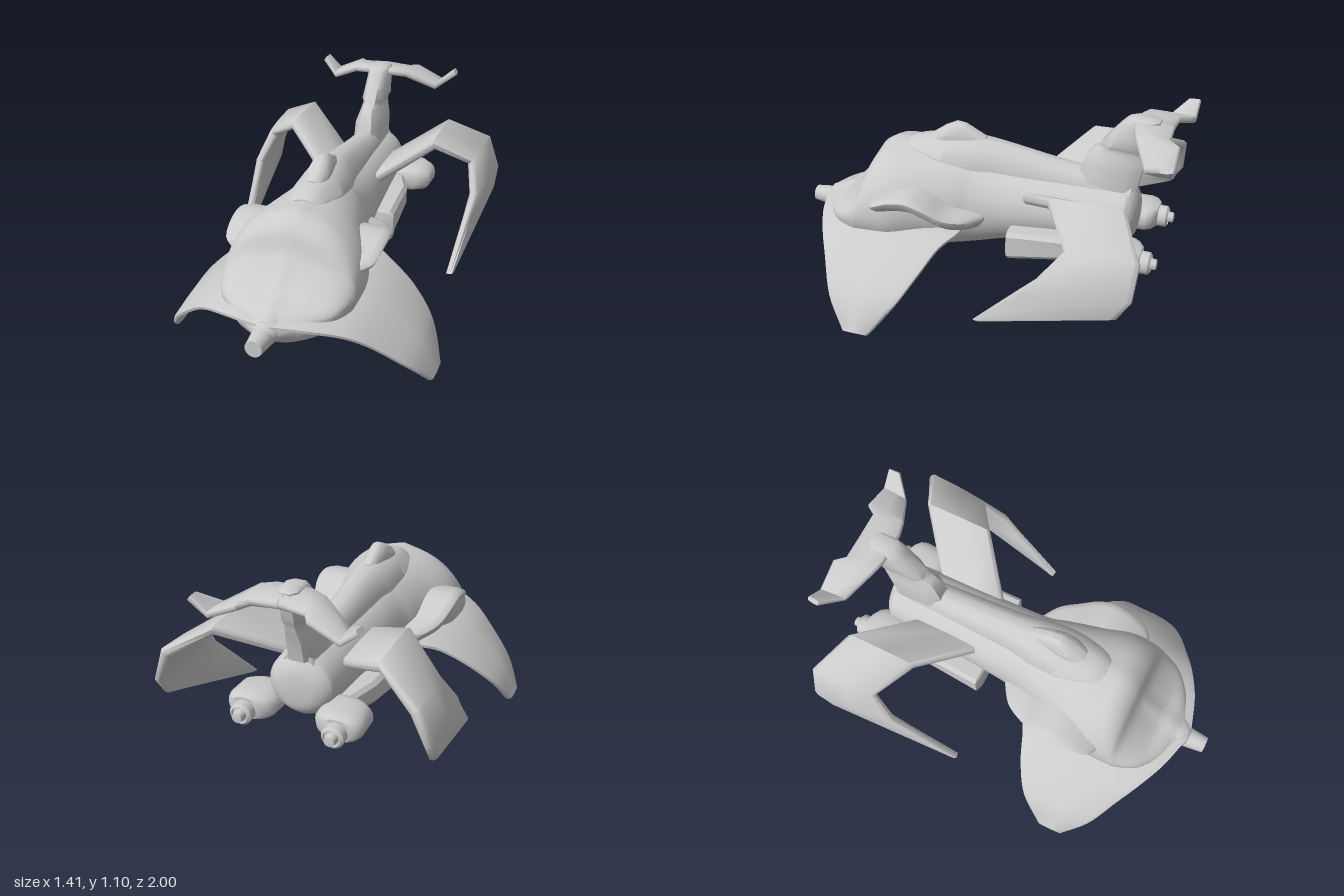
import * as THREE from 'three';
import { toCreasedNormals } from 'three/addons/utils/BufferGeometryUtils.js';

const V = (x, y, z) => new THREE.Vector3(x, y, z);
const grey = new THREE.MeshStandardMaterial({ color: 0xcccccc });
const thin = new THREE.MeshStandardMaterial({ color: 0xcccccc, side: THREE.DoubleSide });

// Joins equal-sized rings of points into a capped solid whose faces point outwards
function loft(rings, crease = 0.6) {
  const n = rings[0].length, last = rings.length - 1, pts = rings.flat(), tris = [];
  for (let r = 0; r < last; r++) {
    for (let i = 0; i < n; i++) {
      const a = r * n + i, b = r * n + (i + 1) % n;
      tris.push([a, b, a + n], [b, b + n, a + n]);
    }
  }
  for (const r of [0, last]) {
    const c = pts.length;
    pts.push(rings[r].reduce((s, p) => s.add(p), V(0, 0, 0)).divideScalar(n));
    for (let i = 0; i < n; i++) {
      const a = r * n + i, b = r * n + (i + 1) % n;
      tris.push(r === 0 ? [c, b, a] : [c, a, b]);
    }
  }
  let volume = 0;
  for (const [a, b, c] of tris) volume += pts[a].dot(pts[b].clone().cross(pts[c]));
  const geo = new THREE.BufferGeometry().setFromPoints(pts);
  geo.setIndex(tris.flatMap(t => (volume < 0 ? [t[0], t[2], t[1]] : t)));
  return toCreasedNormals(geo, crease);
}

// Smooth interpolation between rows of numbers; t counts rows
function sample(rows, t) {
  const i = Math.min(Math.floor(t), rows.length - 2), f = t - i;
  const at = k => rows[Math.max(0, Math.min(rows.length - 1, k))];
  return rows[i].map((p1, k) => {
    const p0 = at(i - 1)[k], p2 = at(i + 1)[k], p3 = at(i + 2)[k];
    return p1 + 0.5 * f * (p2 - p0 + f * (2 * p0 - 5 * p1 + 4 * p2 - p3 + f * (3 * (p1 - p2) + p3 - p0)));
  });
}
const steps = (rows, per) => Array.from({ length: (rows.length - 1) * per + 1 }, (_, i) => sample(rows, i / per));

// Blade between a leading and a trailing line, thick at the root, with a rounded rim
const RIM = [[0, 0.4], [0.05, 0.95], [0.45, 1.1], [0.95, 0.95], [1, 0.4], [1, -0.4], [0.95, -0.95], [0.45, -1.1], [0.05, -0.95], [0, -0.4]];
function blade(lead, trail, root, tip, side, per = 1) {
  const a = steps(lead, per).map(p => V(p[0] * side, p[1], p[2]));
  const b = steps(trail, per).map(p => V(p[0] * side, p[1], p[2]));
  const mid = a.map((p, i) => p.clone().add(b[i]).multiplyScalar(0.5));
  return loft(a.map((p, i) => {
    const span = mid[Math.min(i + 1, mid.length - 1)].clone().sub(mid[Math.max(i - 1, 0)]);
    const chord = b[i].clone().sub(p);
    const normal = span.cross(chord).normalize();
    const thick = THREE.MathUtils.lerp(root, tip, (i / (a.length - 1)) ** 3);
    return RIM.map(([f, h]) => p.clone().addScaledVector(chord, f).addScaledVector(normal, h * thick / 2));
  }), 0.95);
}

// Raised ridge from rows of z, half width, bottom, top
const RIDGE = [[-1, 0], [-1, 0.35], [-0.65, 0.82], [-0.25, 1], [0.25, 1], [0.65, 0.82], [1, 0.35], [1, 0]];
const ridge = (rows, per) => loft(steps(rows, per).map(([z, w, lo, hi]) =>
  RIDGE.map(([x, h]) => V(x * w, lo + h * (hi - lo), z))));

// Hull stations: z, half width, height of widest line, top, bottom
const HULL = [
  [0.89, 0.06, 0.36, 0.41, 0.32], [0.84, 0.13, 0.37, 0.43, 0.29], [0.80, 0.20, 0.39, 0.45, 0.26],
  [0.72, 0.29, 0.42, 0.49, 0.23], [0.62, 0.335, 0.44, 0.60, 0.21], [0.57, 0.34, 0.45, 0.715, 0.2],
  [0.50, 0.342, 0.46, 0.775, 0.2], [0.40, 0.335, 0.47, 0.785, 0.2], [0.25, 0.28, 0.49, 0.79, 0.22],
  [0.10, 0.235, 0.50, 0.785, 0.25], [0, 0.205, 0.51, 0.77, 0.275], [-0.2, 0.19, 0.54, 0.745, 0.335],
  [-0.5, 0.175, 0.565, 0.74, 0.39], [-0.72, 0.163, 0.58, 0.735, 0.42], [-0.77, 0.145, 0.58, 0.72, 0.44],
  [-0.8, 0.1, 0.58, 0.67, 0.48], [-0.81, 0.04, 0.58, 0.62, 0.54],
];
const crest = x => 0.012 * Math.exp(-((x / 0.04) ** 2));
const hullRing = ([z, w, yc, top, low]) => Array.from({ length: 48 }, (_, i) => {
  const a = i / 48 * Math.PI * 2, s = Math.sin(a), x = Math.cos(a) * w;
  return V(x, yc + (s > 0 ? s * (top - yc) + crest(x) : -((-s) ** 1.06) * (yc - low)), z);
});

export function createModel() {
  const model = new THREE.Group();
  const add = (name, geo, mat = grey, parent = model) => {
    const mesh = new THREE.Mesh(geo, mat);
    mesh.name = name;
    parent.add(mesh);
    return mesh;
  };

  add('hull', loft(steps(HULL, 8).map(hullRing), 0.9));

  // Windscreen follows the hull just above its surface, notched at the lower middle
  const glass = new THREE.PlaneGeometry(2, 1, 40, 16);
  const gp = glass.attributes.position;
  for (let i = 0; i < gp.count; i++) {
    const u = gp.getX(i), v = gp.getY(i) + 0.5;
    const x = u * (0.2 + 0.04 * v);
    const start = 2.85 + 0.3 * Math.exp(-((x / 0.05) ** 2)) + 0.15 * u ** 8;
    const [z, w, yc, top] = sample(HULL, THREE.MathUtils.lerp(start, 4.15 - 0.15 * u ** 6, v));
    gp.setXYZ(i, x, yc + (top - yc) * Math.sqrt(1 - (x / w) ** 2) + crest(x) + 0.006, z + 0.006);
  }
  glass.computeVertexNormals();
  add('windscreen', glass, thin);

  // Nose gun and its housing
  const housing = add('noseHousing', new THREE.SphereGeometry(1, 24, 16));
  housing.scale.set(0.09, 0.075, 0.1);
  housing.position.set(0, 0.365, 0.82);
  const barrel = add('noseBarrel', new THREE.CylinderGeometry(0.042, 0.06, 0.15, 20));
  barrel.rotation.x = Math.PI / 2;
  barrel.position.set(0, 0.347, 0.925);

  // Spine along the back with a raised sensor
  add('spine', ridge([
    [0.40, 0.065, 0.76, 0.80], [0.34, 0.095, 0.75, 0.825], [0.2, 0.13, 0.71, 0.85], [0.05, 0.125, 0.70, 0.86],
    [-0.1, 0.10, 0.70, 0.85], [-0.4, 0.085, 0.70, 0.805], [-0.6, 0.08, 0.69, 0.785], [-0.77, 0.075, 0.68, 0.76]], 4));
  add('spineSensor', ridge([
    [0.28, 0.04, 0.81, 0.845], [0.21, 0.06, 0.83, 0.895], [0.15, 0.058, 0.84, 0.925],
    [0.10, 0.05, 0.84, 0.92], [0.03, 0.04, 0.83, 0.885], [-0.01, 0.03, 0.83, 0.865]], 1));

  // Tail pylon: height, front z, back z, half width
  const OCT = [[0, 0.5], [0.2, 1], [0.8, 1], [1, 0.5], [1, -0.5], [0.8, -1], [0.2, -1], [0, -0.5]];
  add('tailPylon', loft([
    [0.72, -0.49, -0.79, 0.075], [0.83, -0.515, -0.81, 0.072], [0.87, -0.535, -0.825, 0.06], [0.91, -0.56, -0.835, 0.05],
    [0.925, -0.59, -0.84, 0.05], [0.945, -0.6, -0.85, 0.06], [1.0, -0.64, -0.86, 0.056], [1.06, -0.69, -0.875, 0.054],
    [1.09, -0.72, -0.87, 0.05], [1.1, -0.745, -0.85, 0.035],
  ].map(([y, f, b, w]) => OCT.map(([u, x]) => V(x * w, y, f + u * (b - f)))), 0.9));

  for (const side of [1, -1]) {
    const half = new THREE.Group();
    half.name = side > 0 ? 'leftSide' : 'rightSide';
    model.add(half);

    // Drooping front wing
    add('frontWing', blade(
      [[0.03, 0.40, 0.9], [0.2, 0.385, 0.85], [0.345, 0.345, 0.78], [0.46, 0.27, 0.71], [0.6, 0.14, 0.62], [0.687, 0.01, 0.51]],
      [[0.12, 0.42, 0.05], [0.25, 0.42, 0.055], [0.365, 0.385, 0.115], [0.5, 0.30, 0.17], [0.62, 0.175, 0.25], [0.69, 0.015, 0.37]],
      0.036, 0.034, side, 5), grey, half);

    // Folded rear wing
    add('rearWing', blade(
      [[0.1, 0.61, -0.21], [0.41, 0.795, -0.455], [0.59, 0.67, -0.59], [0.635, 0.53, -0.48], [0.625, 0.42, -0.375], [0.6, 0.2, -0.165]],
      [[0.1, 0.61, -0.575], [0.41, 0.795, -0.82], [0.61, 0.69, -0.93], [0.672, 0.53, -0.92], [0.67, 0.43, -0.86], [0.607, 0.2, -0.2]],
      0.056, 0.035, side), grey, half);

    // Tail foil with an upturned tip
    add('tailFoil', blade(
      [[0, 1.07, -0.76], [0.08, 1.07, -0.76], [0.15, 1.06, -0.78], [0.3, 0.98, -0.86], [0.395, 1.045, -0.94]],
      [[0, 1.06, -0.935], [0.13, 1.05, -0.94], [0.165, 1.045, -0.99], [0.31, 0.98, -0.995], [0.39, 1.05, -0.998]],
      0.036, 0.028, side), grey, half);

    // Arched side scoop: z, outer x, top y, height
    add('sideScoop', loft(steps([
      [0.515, 0.32, 0.56, 0.03], [0.47, 0.38, 0.585, 0.04], [0.38, 0.398, 0.63, 0.05], [0.28, 0.402, 0.648, 0.055],
      [0.19, 0.392, 0.62, 0.06], [0.10, 0.36, 0.565, 0.055], [0, 0.30, 0.54, 0.045], [-0.07, 0.2, 0.525, 0.03],
    ], 4).map(([z, x, y, h]) => [[0.16, y], [x - 0.04, y], [x - 0.01, y - 0.008], [x, y - 0.02], [x - 0.01, y - h],
      [x - 0.06, y - h - 0.04], [0.16, y - h - 0.05]].map(([px, py]) => V(px * side, py, z))), 0.8), grey, half);

    // Side intake: z, outer x, bottom, top
    add('intake', loft([[-0.2, 0.25, 0.335, 0.48], [-0.21, 0.27, 0.33, 0.49], [-0.5, 0.26, 0.38, 0.51], [-0.66, 0.2, 0.42, 0.5]]
      .map(([z, x, lo, hi]) => [[0.08, lo], [x - 0.03, lo], [x, lo + 0.03], [x, hi - 0.02], [x - 0.02, hi], [0.08, hi]]
        .map(([px, py]) => V(px * side, py, z)))), grey, half);

    // Engine pod: z, centre x, half width, half height
    add('enginePod', loft([[-0.66, 0.185, 0.085, 0.045], [-0.675, 0.2, 0.1, 0.06], [-0.71, 0.215, 0.122, 0.07],
      [-0.82, 0.22, 0.12, 0.07], [-0.85, 0.225, 0.105, 0.066], [-0.875, 0.23, 0.07, 0.056]]
      .map(([z, x, w, h]) => Array.from({ length: 24 }, (_, i) => {
        const a = i / 24 * Math.PI * 2, c = Math.cos(a), s = Math.sin(a);
        return V((x + w * Math.sign(c) * Math.abs(c) ** 0.8) * side, 0.465 + h * Math.sign(s) * Math.abs(s) ** 0.8, z);
      })), 0.8), grey, half);

    // Exhaust nozzle
    const profile = [[0, 0], [0.055, 0], [0.055, 0.05], [0.042, 0.06], [0.04, 0.05], [0.03, 0.05], [0.025, 0.085], [0, 0.09]];
    const nozzle = add('nozzle', toCreasedNormals(
      new THREE.LatheGeometry(profile.map(p => new THREE.Vector2(...p)), 20), 0.6), grey, half);
    nozzle.rotation.x = -Math.PI / 2;
    nozzle.position.set(0.23 * side, 0.455, -0.865);
  }
  return model;
}
